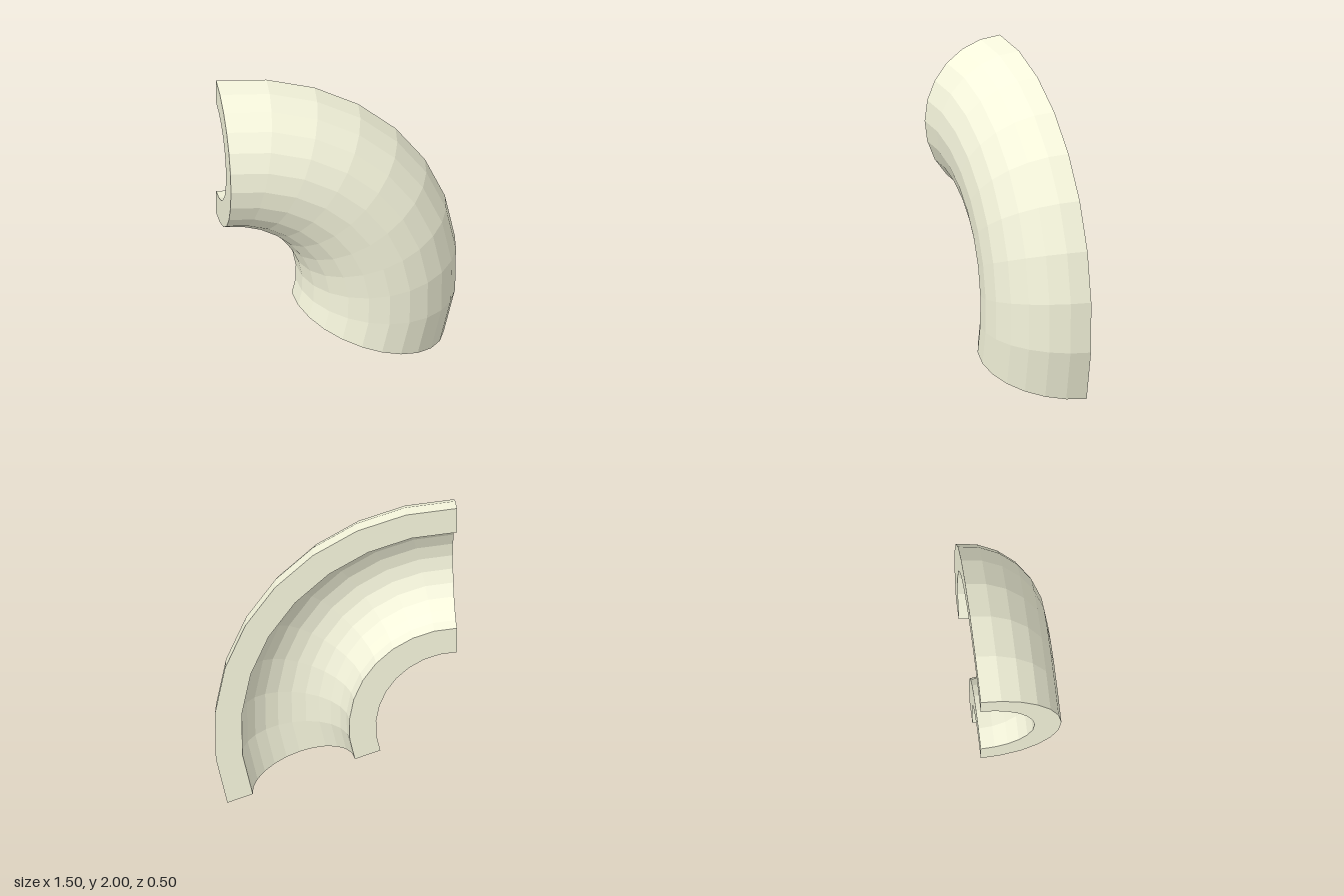
import * as THREE from 'three';

const RING = 1.005, OUTER = 0.502, INNER = 0.335; // bend radius, tube radii
const BEND_STEPS = 9, TUBE_STEPS = 12;
const START = THREE.MathUtils.degToRad(-19.1), END = Math.PI / 2;
const CENTRE = new THREE.Vector3(-0.75, 0.493, -0.25);

// Closed C-shaped profile: outer half circle, then inner half circle back again
function halfPipeProfile() {
  const points = [];
  for (let i = 0; i <= TUBE_STEPS; i++) {
    const t = (i / TUBE_STEPS) * Math.PI;
    points.push([RING + OUTER * Math.cos(t), OUTER * Math.sin(t)]);
  }
  for (let i = TUBE_STEPS; i >= 0; i--) {
    const t = (i / TUBE_STEPS) * Math.PI;
    points.push([RING + INNER * Math.cos(t), INNER * Math.sin(t)]);
  }
  return points;
}

// Sweep the profile round the bend and close both ends
function bentHalfPipe() {
  const profile = halfPipeProfile();
  const n = profile.length;
  const positions = [], index = [];
  const quad = (a, b, c, d) => index.push(a, b, c, a, c, d);

  for (let s = 0; s <= BEND_STEPS; s++) {
    const a = START + (s / BEND_STEPS) * (END - START);
    for (const [rho, z] of profile) {
      positions.push(CENTRE.x + rho * Math.cos(a), CENTRE.y + rho * Math.sin(a), CENTRE.z + z);
    }
  }

  // Outer skin, inner skin and the two flat rims at the back
  for (let s = 0; s < BEND_STEPS; s++) {
    for (let i = 0; i < n; i++) {
      const j = (i + 1) % n, p = s * n, q = p + n;
      quad(p + i, q + i, q + j, p + j);
    }
  }

  // End faces: half rings between outer and inner circle
  const last = BEND_STEPS * n;
  for (let i = 0; i < TUBE_STEPS; i++) {
    const inner = n - 1 - i;
    quad(i, i + 1, inner - 1, inner);
    quad(last + inner, last + inner - 1, last + i + 1, last + i);
  }

  const indexed = new THREE.BufferGeometry();
  indexed.setAttribute('position', new THREE.Float32BufferAttribute(positions, 3));
  indexed.setIndex(index);
  const geometry = indexed.toNonIndexed();
  geometry.computeVertexNormals();
  return geometry;
}

export function createModel() {
  const group = new THREE.Group();
  group.name = 'halfPipeElbow';
  const material = new THREE.MeshStandardMaterial({ color: 0xf5f5dc, flatShading: true });
  const shell = new THREE.Mesh(bentHalfPipe(), material);
  shell.name = 'curvedShell';
  group.add(shell);
  return group;
}
